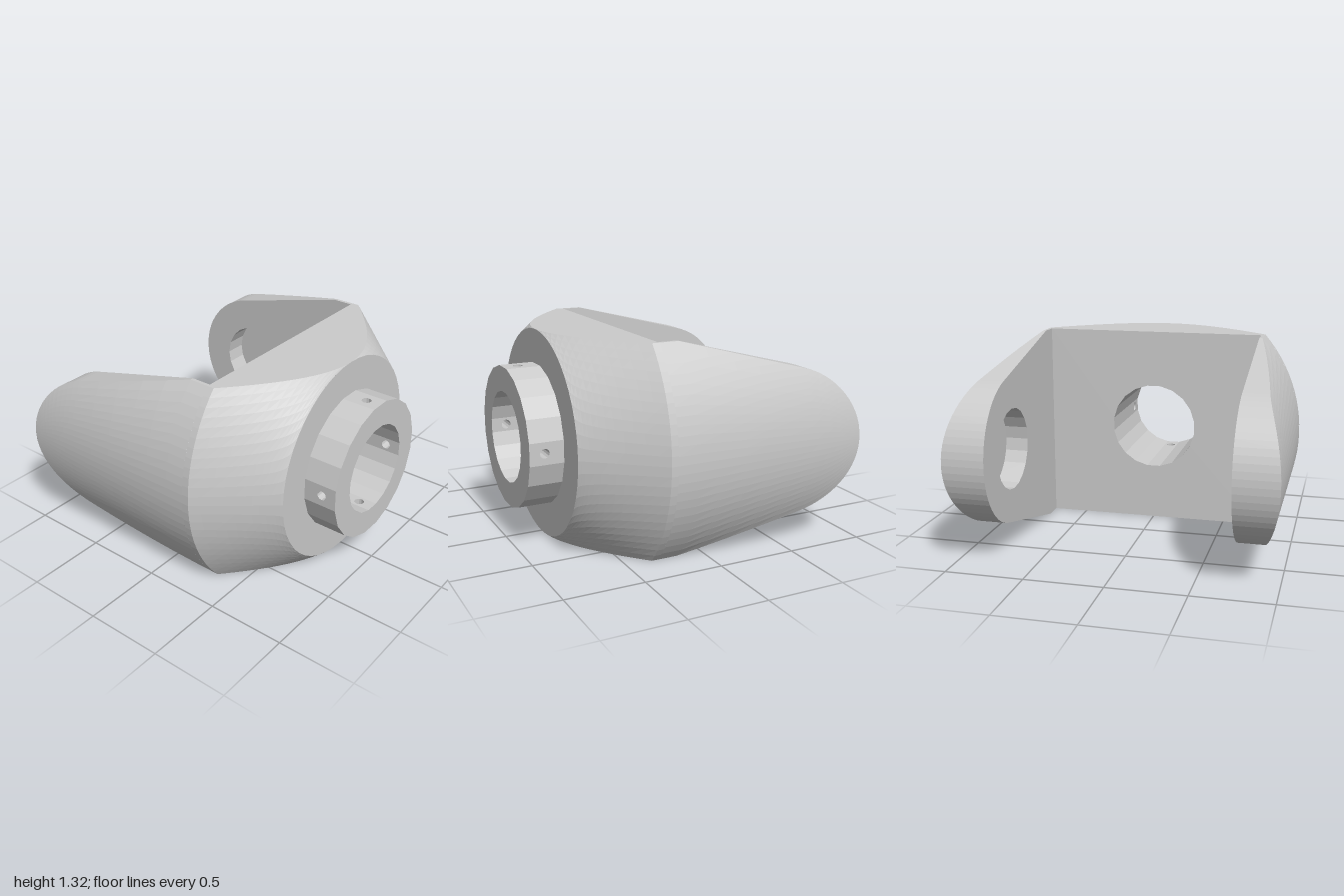
import * as THREE from 'three';
import { mergeGeometries } from 'three/addons/utils/BufferGeometryUtils.js';

const HALF = 0.66;             // half height between the two flats
const SLOT = 0.73;             // half width of the gap between the arms
const BACK = 0.29, SHOULDER = 0.335, FACE = 0.76, END = 0.975;
const BORE = 0.285, NECK = 0.4425, PIN = 0.03, SIDES = 20;
const PIN_X = 0.88;

const grey = new THREE.MeshStandardMaterial({ color: 0xcccccc, flatShading: true });
const greyInside = new THREE.MeshStandardMaterial({ color: 0xcccccc, flatShading: true, side: THREE.BackSide });

function mesh(name, geometry, material = grey) {
  const m = new THREE.Mesh(geometry, material);
  m.name = name;
  return m;
}

// Skin over rows of [x, y, z] points; outward is (row direction) x (column direction)
function loft(rows) {
  const n = rows[0].length, index = [];
  for (let i = 0; i < rows.length - 1; i++) {
    for (let j = 0; j < n - 1; j++) {
      const a = i * n + j, b = a + n;
      index.push(a, b, b + 1, a, b + 1, a + 1);
    }
  }
  const g = new THREE.BufferGeometry();
  g.setAttribute('position', new THREE.Float32BufferAttribute(rows.flat(2), 3));
  g.setIndex(index);
  g.computeVertexNormals();
  return g;
}

// Regular polygon points; shift is a fraction of one side
function ring(radius, sides, shift = 0, cx = 0, cy = 0) {
  return Array.from({ length: sides }, (_, k) => {
    const t = ((k + shift) / sides) * Math.PI * 2;
    return new THREE.Vector2(cx + radius * Math.cos(t), cy + radius * Math.sin(t));
  });
}

function plate(outline, hole) {
  const s = new THREE.Shape(outline);
  if (hole) s.holes.push(new THREE.Path(hole));
  return new THREE.ShapeGeometry(s);
}

const rect = (x0, x1, h) => [[x0, -h], [x1, -h], [x1, h], [x0, h]].map(p => new THREE.Vector2(...p));

// Conical body cut by a flat above and below
function bodySkin() {
  const stations = [[BACK, 1], [SHOULDER, 1]];
  for (let k = 1; k <= 14; k++) {
    const s = 1 - (1 - k / 14) ** 2;
    stations.push([SHOULDER + (FACE - SHOULDER) * s, 1 + (HALF - 1) * s]);
  }
  return loft(stations.map(([x, r]) => {
    const a = Math.asin(Math.min(1, HALF / r)), row = [];
    for (const mid of [0, Math.PI]) {
      for (let j = 0; j <= 24; j++) {
        const t = mid - a + (2 * a * j) / 24;
        row.push([x, r * Math.sin(t), r * Math.cos(t)]);
      }
    }
    row.push(row[0]);
    return row;
  }));
}

// One faceted wall of the neck or bore, four facets drilled for pins
function facetWall(x0, apothem, inward) {
  const parts = [];
  const half = apothem * Math.tan(Math.PI / SIDES);
  for (let k = 0; k < SIDES; k++) {
    const drilled = k % (SIDES / 4) === 0;
    const g = plate(rect(x0, END, half), drilled && ring(PIN, 12, 0, PIN_X));
    if (inward) g.rotateX(Math.PI);
    parts.push(g.translate(0, 0, apothem).rotateX((k / SIDES) * Math.PI * 2));
  }
  return mergeGeometries(parts);
}

function makeNeck() {
  const neck = new THREE.Group();
  neck.name = 'neck';
  const corner = 1 / Math.cos(Math.PI / SIDES);
  const outer = ring(NECK * corner, SIDES, 0.5), inner = ring(BORE * corner, SIDES, 0.5);
  neck.add(
    mesh('neckWall', facetWall(FACE, NECK, false)),
    mesh('bore', facetWall(BACK, BORE, true)),
    mesh('neckEnd', plate(outer, inner).rotateY(Math.PI / 2).translate(END, 0, 0)),
    mesh('shoulderFace', plate(ring(HALF, 48), outer).rotateY(Math.PI / 2).translate(FACE, 0, 0)),
    mesh('slotFloor', plate(rect(-SLOT, SLOT, HALF), inner).rotateY(-Math.PI / 2).translate(BACK, 0, 0)),
  );
  // Radial pin holes
  for (let k = 0; k < 4; k++) {
    const g = new THREE.CylinderGeometry(PIN, PIN, NECK - BORE, 12, 1, true);
    g.rotateX(Math.PI / 2).translate(PIN_X, 0, (NECK + BORE) / 2).rotateX((k * Math.PI) / 2);
    neck.add(mesh('pinHole', g, greyInside));
  }
  return neck;
}

// Arm with a rounded tip, a cylindrical outside and a blind bearing hole inside
function makeArm() {
  const cx = -0.505, r = 0.47, tangent = 1.32;
  const edge = [];                       // [x, half height] from the tip to the body
  for (let k = 0; k <= 14; k++) {
    const t = (tangent * k) / 14;
    edge.push([cx - r * Math.cos(t), r * Math.sin(t)]);
  }
  const [tx, th] = edge[14];
  for (let k = 1; k <= 5; k++) edge.push([tx + ((0.165 - tx) * k) / 5, th + ((HALF - th) * k) / 5]);
  edge.push([BACK, HALF]);

  const rows = edge.map(([x, h]) => {
    const row = [[x, -h, SLOT]];
    for (let j = 0; j <= 24; j++) {
      const y = h * (j / 12 - 1);
      row.push([x, y, Math.sqrt(1 - y * y)]);
    }
    row.push([x, h, SLOT]);
    return row;
  });

  const outline = [
    ...edge.map(([x, h]) => new THREE.Vector2(-x, h)),
    ...edge.slice(1).reverse().map(([x, h]) => new THREE.Vector2(-x, -h)),
  ];
  const holeR = 0.26, depth = 0.15;
  const arm = new THREE.Group();
  arm.add(
    mesh('armOutside', loft(rows)),
    mesh('armInside', plate(outline, ring(holeR, SIDES, 0, -cx)).rotateY(Math.PI).translate(0, 0, SLOT)),
    mesh('bearingHoleWall', new THREE.CylinderGeometry(holeR, holeR, depth, SIDES, 1, true)
      .rotateX(Math.PI / 2).translate(cx, 0, SLOT + depth / 2), greyInside),
    mesh('bearingHoleFloor', new THREE.CircleGeometry(holeR, SIDES)
      .rotateY(Math.PI).translate(cx, 0, SLOT + depth)),
  );
  return arm;
}

export function createModel() {
  const yoke = new THREE.Group();
  yoke.name = 'yoke';
  yoke.position.y = HALF;
  yoke.add(mesh('body', bodySkin()), makeNeck());
  ['frontArm', 'backArm'].forEach((name, i) => {
    const arm = makeArm();
    arm.name = name;
    arm.rotation.x = i * Math.PI;
    yoke.add(arm);
  });
  const model = new THREE.Group();
  model.name = 'forkYoke';
  model.add(yoke);
  return model;
}
